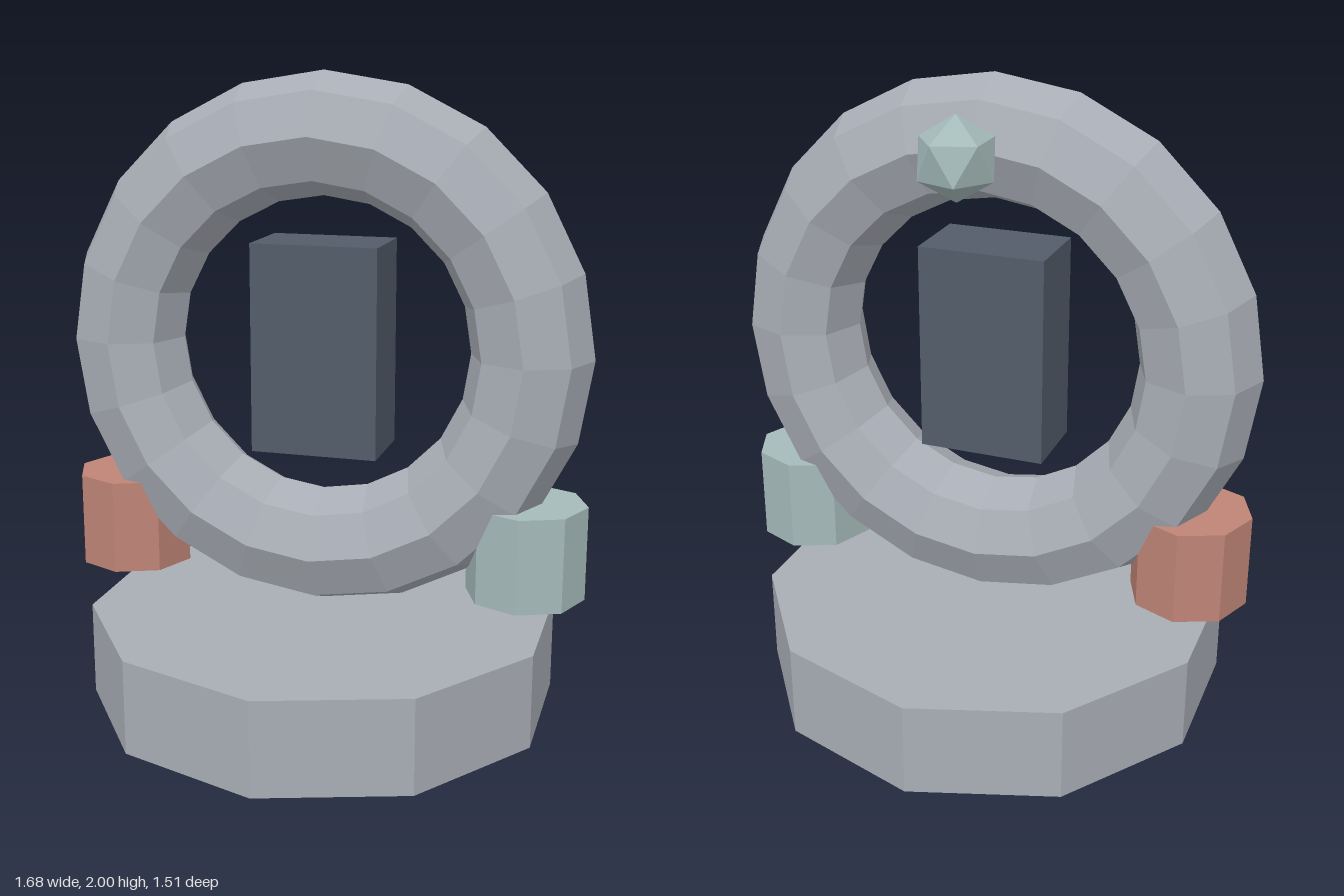
import * as THREE from 'three';

export function createModel() {
  const model = new THREE.Group();
  model.name = 'ringMonument';

  const material = (name, color) => {
    const m = new THREE.MeshStandardMaterial({ color, flatShading: true });
    m.name = name;
    return m;
  };
  const stone = material('grey stone', 0xa8adb5);
  const slate = material('dark slate', 0x525c69);
  const teal = material('pale teal', 0xa4bab9);
  const clay = material('red clay', 0xbf8476);

  const add = (name, geometry, mat, x, y, z) => {
    const mesh = new THREE.Mesh(geometry, mat);
    mesh.name = name;
    mesh.position.set(x, y, z);
    model.add(mesh);
    return mesh;
  };

  const ringRadius = 0.653, tube = 0.187, ringY = 1.16;

  // Ten-sided plinth
  add('base', new THREE.CylinderGeometry(0.755, 0.755, 0.3, 10), stone, 0, 0.15, 0);

  // Upright faceted ring with a block floating in its middle
  add('ring', new THREE.TorusGeometry(ringRadius, tube, 8, 20), stone, 0, ringY, 0);
  add('coreBlock', new THREE.BoxGeometry(0.4, 0.655, 0.25), slate, 0, ringY, 0);

  // Octagonal drums clasping the ring on both sides
  for (const [name, side, mat] of [['leftDrum', 1, teal], ['rightDrum', -1, clay]]) {
    add(name, new THREE.CylinderGeometry(tube, tube, 0.3, 8), mat, side * ringRadius, 0.553, 0);
  }

  // Small gem behind the top of the ring, turned to stand on a vertex
  const gem = new THREE.IcosahedronGeometry(0.125, 0);
  gem.rotateZ(-Math.atan(2 / (1 + Math.sqrt(5))));
  add('gem', gem, teal, 0, 1.815, -0.3);

  return model;
}
